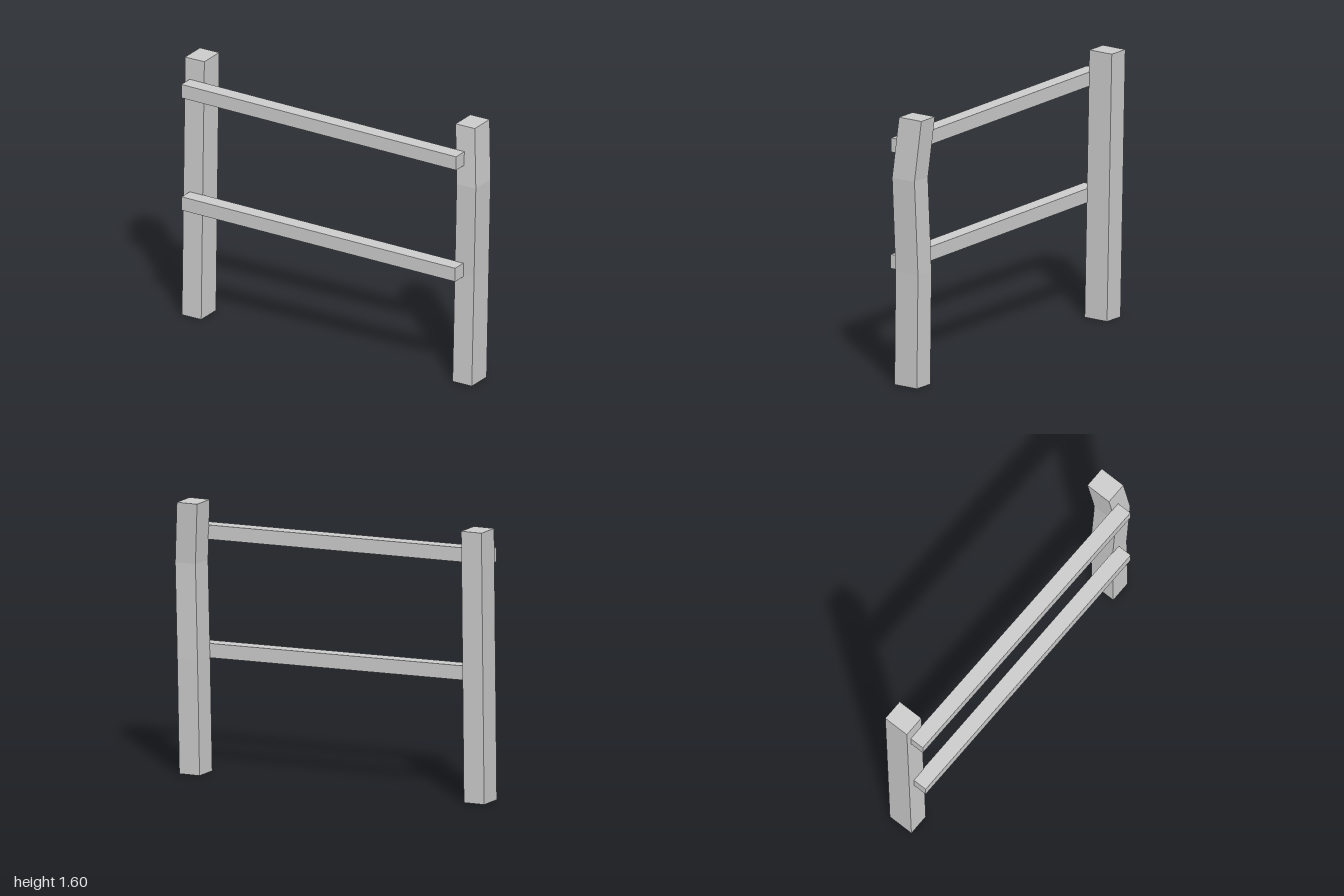
import * as THREE from 'three';

const material = new THREE.MeshStandardMaterial({ color: 0xcccccc, flatShading: true, side: THREE.DoubleSide });

// Square timber following a list of centre points along one axis ('x' or 'y')
function timber(name, axis, size, points, openStart = false) {
  const n = points.length - 1;
  const geometry = axis === 'y'
    ? new THREE.BoxGeometry(size[0], 1, size[2], 1, n, 1)
    : new THREE.BoxGeometry(1, size[1], size[2], n, 1, 1);
  const pos = geometry.attributes.position;
  const v = new THREE.Vector3();
  for (let i = 0; i < pos.count; i++) {
    v.fromBufferAttribute(pos, i);
    const row = Math.round((v[axis] + 0.5) * n);
    v[axis] = 0;
    v.add(new THREE.Vector3(...points[row]));
    pos.setXYZ(i, v.x, v.y, v.z);
  }
  // Leave out the underside of a post
  if (openStart) {
    const { start, count } = geometry.groups[3];
    const index = Array.from(geometry.index.array);
    index.splice(start, count);
    geometry.setIndex(index);
  }
  geometry.clearGroups();
  geometry.computeVertexNormals();
  const mesh = new THREE.Mesh(geometry, material);
  mesh.name = name;
  return mesh;
}

export function createModel() {
  const group = new THREE.Group();
  group.name = 'fence';
  const post = [0.131, 0, 0.16];
  const rail = [0, 0.084, 0.092];

  // Straight post leaning slightly back
  group.add(timber('rightPost', 'y', post, [
    [-0.934, 0, -0.022], [-0.934, 1.6, -0.056],
  ], true));

  // Bent post
  group.add(timber('leftPost', 'y', post, [
    [0.907, 0, -0.022], [0.914, 0.68, -0.035], [0.933, 1.24, -0.024], [0.907, 1.6, -0.054],
  ], true));

  // Sloping rails on the front of the posts
  group.add(timber('upperRail', 'x', rail, [[-0.967, 1.427, 0.07], [0.91, 1.404, 0.083]]));
  group.add(timber('lowerRail', 'x', rail, [[-0.957, 0.731, 0.083], [0.907, 0.708, 0.088]]));

  return group;
}
